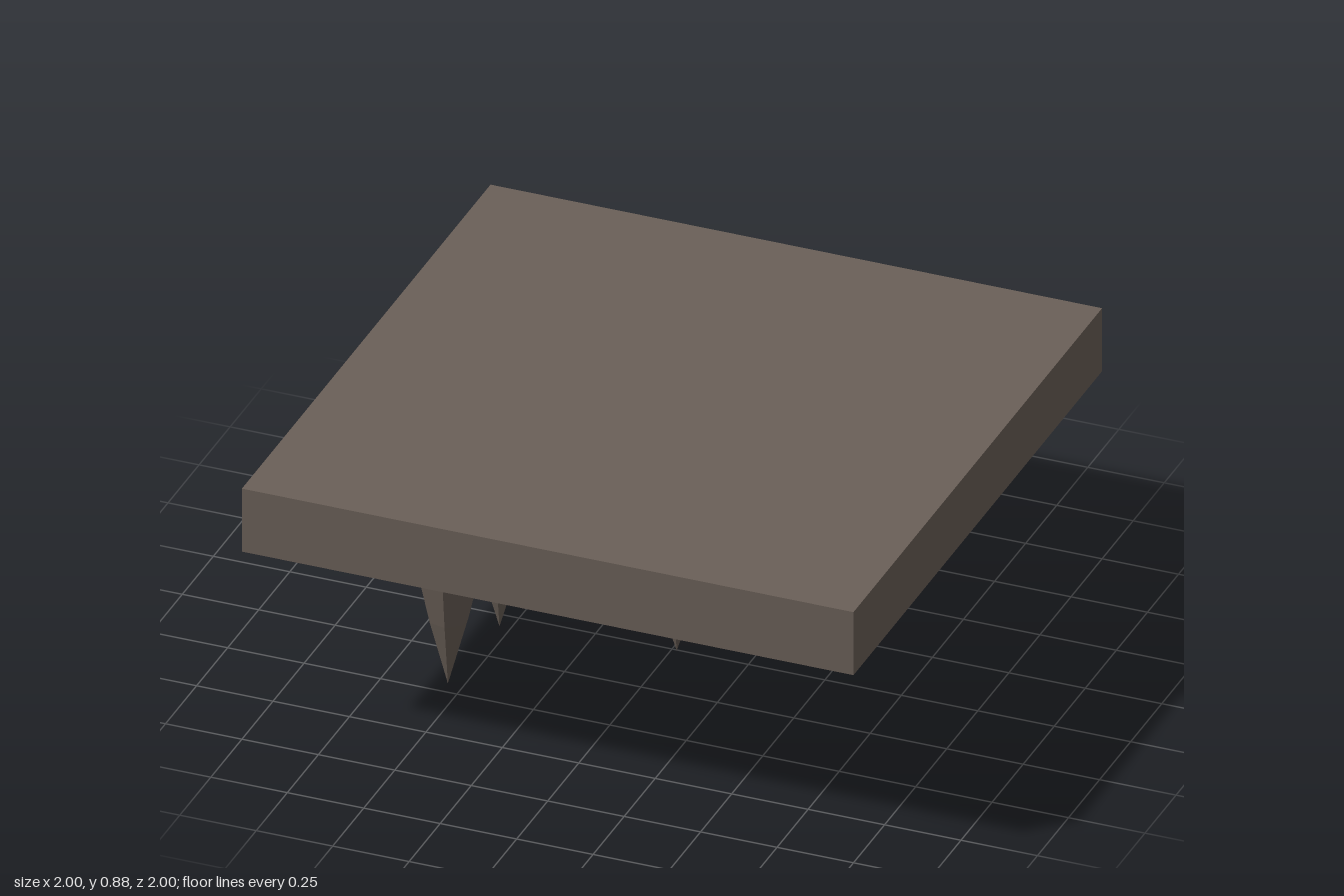
import * as THREE from 'three';

const CEILING = 0.655; // underside of the slab

// Spikes: x, z, tip height, base radius
const SPIKES = [
  [-0.55, 0.45, 0.0, 0.14],
  [0.45, -0.35, 0.16, 0.115],
  [0.1, 0.1, 0.285, 0.078],
  [-0.6, -0.55, 0.235, 0.092],
  [0.65, -0.1, 0.385, 0.06],
  [-0.3, 0.65, 0.36, 0.068],
  [0.3, 0.7, 0.43, 0.055],
  [-0.15, -0.7, 0.455, 0.046],
];

// Taper from tip (0) to root (1): height share, radius share
const TAPER = [[0, 0], [0.35, 0.45], [0.68, 0.8], [1, 1]];

function lathe(points, sides, start = 0) {
  return new THREE.LatheGeometry(points.map(([r, y]) => new THREE.Vector2(r, y)), sides, start);
}

export function createModel() {
  const model = new THREE.Group();
  model.name = 'stalactiteCeiling';
  const rock = new THREE.MeshStandardMaterial({ color: 0x6b6058, flatShading: true });
  rock.name = 'brown rock';

  const add = (name, geometry) => {
    const mesh = new THREE.Mesh(geometry, rock);
    mesh.name = name;
    model.add(mesh);
    return mesh;
  };

  // Square rock slab
  add('slab', new THREE.BoxGeometry(2, 0.22, 2)).position.y = CEILING + 0.11;

  // Shallow bulge under the slab
  add('undersideBulge', lathe([[0, 0.63], [0.25, 0.63], [0.6, 0.642], [0.96, CEILING]], 16));

  // Seven-sided hanging spikes, one corner toward -x
  SPIKES.forEach(([x, z, tip, radius], i) => {
    const profile = TAPER.map(([t, r]) => [r * radius, tip + t * (CEILING - tip)]);
    add(`stalactite${i + 1}`, lathe(profile, 7, -Math.PI / 2)).position.set(x, 0, z);
  });

  return model;
}
